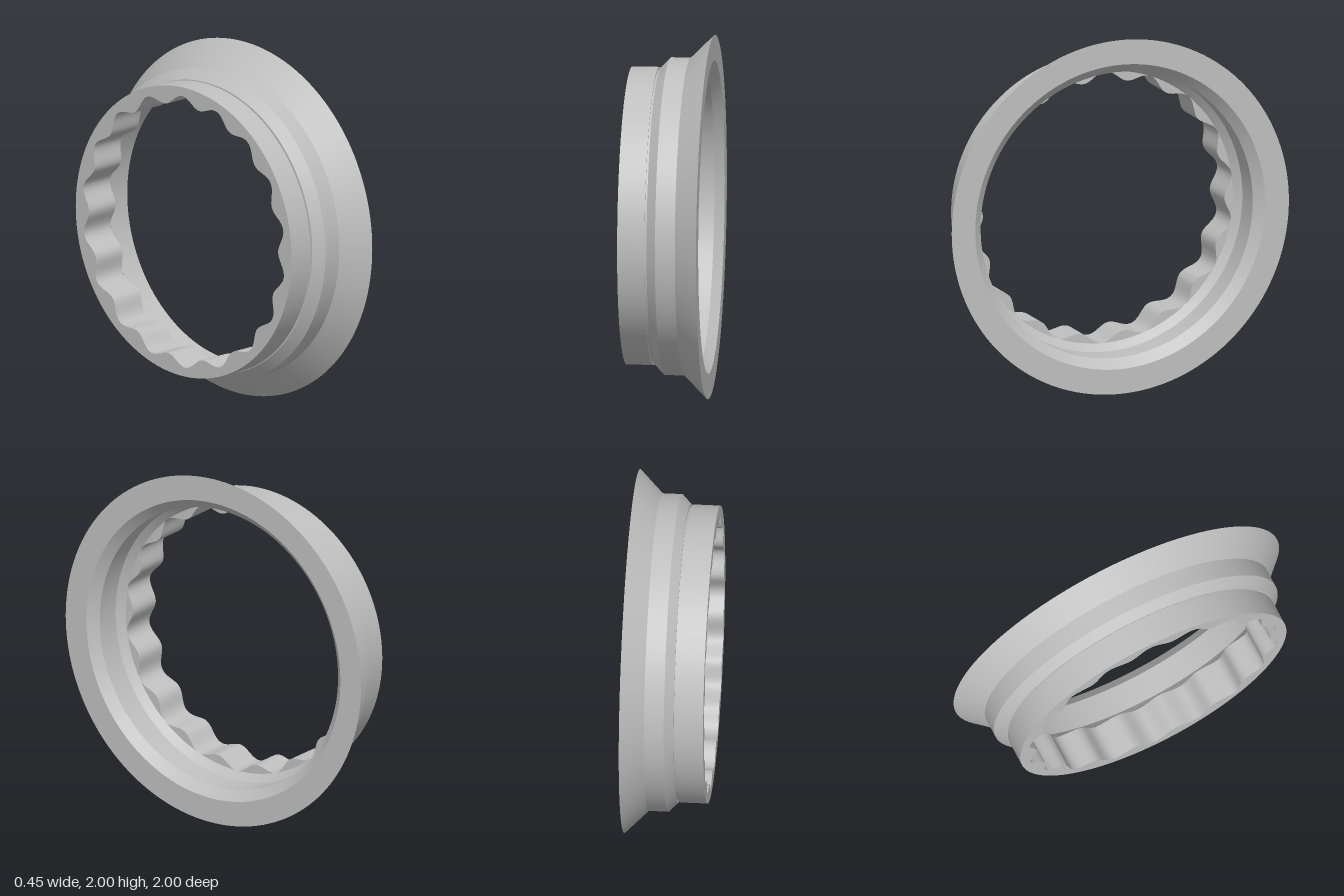
import * as THREE from 'three';
import { mergeGeometries, toCreasedNormals } from 'three/addons/utils/BufferGeometryUtils.js';

const SEG = 144;

// Revolves a [x, radius] profile about the x axis, with a crisp edge at each corner
function revolve(profile) {
  const bands = [];
  for (let i = 0; i < profile.length - 1; i++) {
    const pts = [profile[i], profile[i + 1]].map(([x, r]) => new THREE.Vector2(r, x));
    bands.push(new THREE.LatheGeometry(pts, SEG));
  }
  return mergeGeometries(bands).rotateZ(-Math.PI / 2);
}

export function createModel() {
  const group = new THREE.Group();
  group.name = 'flaredRing';
  const metal = new THREE.MeshStandardMaterial({ color: 0xbfbfbf });
  metal.name = 'grey metal';

  const add = (name, geometry) => {
    const mesh = new THREE.Mesh(geometry, metal);
    mesh.name = name;
    mesh.position.y = 1;
    group.add(mesh);
  };

  // Collar at the narrow end, with the shallow groove beside it
  add('collar', revolve([
    [-0.225, 0.79], [-0.225, 0.818], [-0.075, 0.818], [-0.075, 0.807], [-0.063, 0.807], [-0.063, 0.82],
  ]));

  // Stepped body and conical flare
  add('flare', revolve([[-0.063, 0.82], [-0.012, 0.872], [0.097, 0.872], [0.225, 1]]));

  // Flat front face
  add('rim', revolve([[0.225, 1], [0.225, 0.86]]));

  // Smooth bore: bevel, straight wall, inner bevel
  add('bore', revolve([[0.225, 0.86], [0.173, 0.807], [0.025, 0.807], [-0.015, 0.767]]));

  // Scalloped grip inside the collar: 18 rounded lobes
  const ring = new THREE.Shape().absarc(0, 0, 0.79, 0, Math.PI * 2, false);
  const lobes = [];
  const steps = 18 * 20;
  for (let i = 0; i < steps; i++) {
    const a = (i / steps) * Math.PI * 2;
    const r = 0.742 - 0.026 * Math.cos(18 * (a - THREE.MathUtils.degToRad(11)));
    lobes.push(new THREE.Vector2(r * Math.sin(a), r * Math.cos(a)));
  }
  ring.holes.push(new THREE.Path(lobes));
  const grip = new THREE.ExtrudeGeometry(ring, { depth: 0.21, bevelEnabled: false, curveSegments: SEG });
  grip.rotateY(Math.PI / 2).translate(-0.225, 0, 0);
  add('scallopedGrip', toCreasedNormals(grip, 0.6));

  return group;
}
